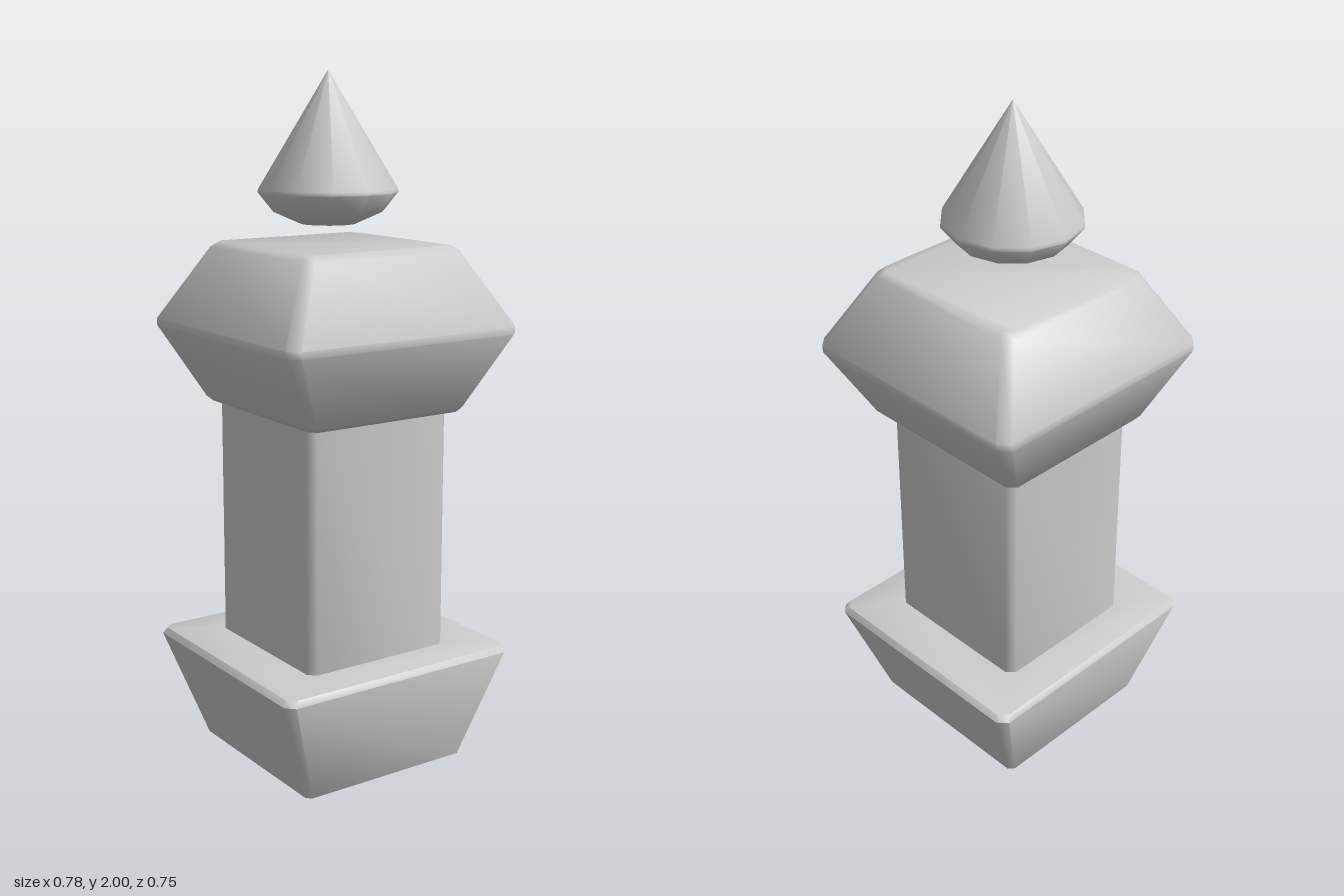
import * as THREE from 'three';
import { toCreasedNormals } from 'three/addons/utils/BufferGeometryUtils.js';

const material = new THREE.MeshStandardMaterial({ color: 0xcccccc, side: THREE.DoubleSide });

// Loft through rectangles with cut corners; each ring is [y, half width x, half depth z, corner cut]
function loft(rings, capped) {
  const positions = [], index = [];
  for (const [y, w, d, c] of rings) {
    const corners = [
      [w, d - c], [w, c - d], [w - c, -d], [c - w, -d],
      [-w, c - d], [-w, d - c], [c - w, d], [w - c, d],
    ];
    for (const [x, z] of corners) positions.push(x, y, z);
  }
  for (let r = 0; r < rings.length - 1; r++) {
    for (let i = 0; i < 8; i++) {
      const a = r * 8 + i, b = r * 8 + (i + 1) % 8;
      index.push(a, b, a + 8, b, b + 8, a + 8);
    }
  }
  if (capped) {
    const first = (rings.length - 1) * 8;
    for (let i = 1; i < 7; i++) index.push(first, first + i, first + i + 1);
  }
  const geometry = new THREE.BufferGeometry();
  geometry.setAttribute('position', new THREE.Float32BufferAttribute(positions, 3));
  geometry.setIndex(index);
  return geometry;
}

function addPart(group, name, geometry, x = 0) {
  const mesh = new THREE.Mesh(toCreasedNormals(geometry, 0.9), material);
  mesh.name = name;
  mesh.position.x = x;
  group.add(mesh);
}

export function createModel() {
  const group = new THREE.Group();
  group.name = 'squarePost';

  // Flared hollow foot, open underneath, closing in to the column
  addPart(group, 'base', loft([
    [0, 0.275, 0.285, 0.015],
    [0.325, 0.39, 0.368, 0.025],
    [0.342, 0.378, 0.356, 0.025],
    [0.345, 0.237, 0.245, 0.02],
  ]), -0.005);

  // Straight hollow shaft
  addPart(group, 'column', loft([
    [0.34, 0.238, 0.246, 0.022],
    [1.055, 0.238, 0.246, 0.022],
  ]), -0.005);

  // Double-tapered block with a flat top
  addPart(group, 'head', loft([
    [1.05, 0.237, 0.245, 0.02],
    [1.05, 0.255, 0.275, 0.02],
    [1.065, 0.272, 0.288, 0.025],
    [1.275, 0.386, 0.377, 0.03],
    [1.295, 0.386, 0.377, 0.03],
    [1.505, 0.264, 0.266, 0.025],
    [1.52, 0.245, 0.25, 0.025],
  ], true));

  // Floating twelve-sided point with a shallow rounded underside
  const profile = [[0, 1.57], [0.08, 1.577], [0.155, 1.61], [0.199, 1.665], [0.197, 1.675], [0, 2]];
  addPart(group, 'finial', new THREE.LatheGeometry(
    profile.map(([r, y]) => new THREE.Vector2(r, y)), 12), -0.017);

  return group;
}
